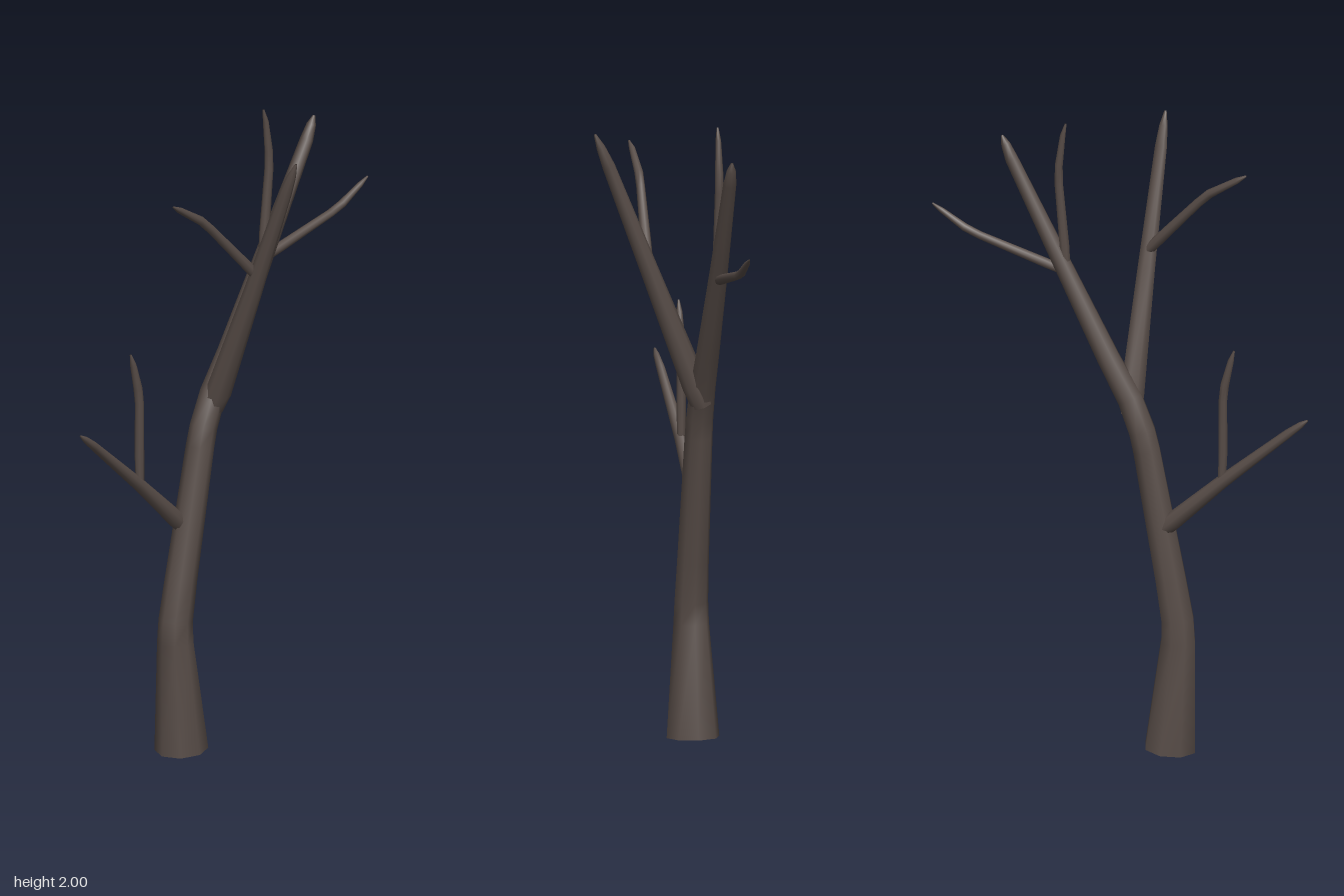
import * as THREE from 'three';

const SIDES = 8;

// Tapered limb: rings set square to a path of [x, y, z, radius] points
function limb(points) {
  const centres = points.map(p => new THREE.Vector3(p[0], p[1], p[2]));
  const pos = [], index = [];
  const last = points.length - 1;
  points.forEach((p, i) => {
    const before = centres[i].clone().sub(centres[Math.max(i - 1, 0)]).normalize();
    const after = centres[Math.min(i + 1, last)].clone().sub(centres[i]).normalize();
    const dir = before.add(after).normalize();
    const u = new THREE.Vector3().crossVectors(dir, new THREE.Vector3(0, 0, 1)).normalize();
    const v = new THREE.Vector3().crossVectors(u, dir);
    for (let j = 0; j < SIDES; j++) {
      const a = (j / SIDES) * Math.PI * 2;
      const q = centres[i].clone().addScaledVector(u, p[3] * Math.cos(a)).addScaledVector(v, p[3] * Math.sin(a));
      pos.push(q.x, q.y, q.z);
    }
  });
  for (let i = 0; i < last; i++) {
    for (let j = 0; j < SIDES; j++) {
      const a = i * SIDES + j, b = i * SIDES + (j + 1) % SIDES;
      index.push(a, a + SIDES, b, b, a + SIDES, b + SIDES);
    }
  }
  // close the tip
  const top = last * SIDES;
  for (let j = 1; j < SIDES - 1; j++) index.push(top, top + j + 1, top + j);
  const geo = new THREE.BufferGeometry();
  geo.setAttribute('position', new THREE.Float32BufferAttribute(pos, 3));
  geo.setIndex(index);
  geo.computeVertexNormals();
  return geo;
}

export function createModel() {
  const bark = new THREE.MeshStandardMaterial({ color: 0x574c47, side: THREE.DoubleSide });
  bark.name = 'bark';

  const limbs = {
    // trunk bends into the left main branch; its base is open
    trunk: [
      [-0.174, 0.006, -0.13, 0.083], [-0.2, 0.36, -0.13, 0.056], [-0.198, 0.43, -0.13, 0.053],
      [-0.175, 0.56, -0.13, 0.05], [-0.095, 0.97, -0.13, 0.044], [-0.08, 1.03, -0.13, 0.043],
      [-0.04, 1.13, -0.13, 0.041], [0.03, 1.25, -0.13, 0.037], [0.19, 1.55, -0.13, 0.029],
      [0.355, 1.86, -0.128, 0.021], [0.375, 1.905, -0.128, 0.015], [0.387, 1.932, -0.128, 0.004],
    ],
    frontBranch: [
      [-0.045, 1.08, -0.13, 0.034], [-0.038, 1.14, -0.107, 0.04], [-0.026, 1.5, 0.034, 0.029],
      [-0.018, 1.85, 0.17, 0.02], [-0.016, 1.91, 0.195, 0.014], [-0.015, 1.953, 0.214, 0.004],
    ],
    lowerBranch: [
      [-0.15, 0.72, -0.143, 0.026], [-0.19, 0.757, -0.142, 0.028], [-0.35, 0.905, -0.132, 0.021],
      [-0.56, 1.085, -0.114, 0.014], [-0.6, 1.117, -0.11, 0.01], [-0.622, 1.134, -0.109, 0.003],
    ],
    lowerTwig: [
      [-0.347, 0.9, -0.132, 0.013], [-0.35, 1.0, -0.132, 0.015], [-0.35, 1.17, -0.132, 0.014],
      [-0.356, 1.22, -0.132, 0.014], [-0.376, 1.3, -0.132, 0.01], [-0.387, 1.336, -0.132, 0.003],
    ],
    sideTwig: [
      [0.19, 1.522, -0.13, 0.015], [0.24, 1.536, -0.13, 0.016], [0.46, 1.596, -0.131, 0.013],
      [0.51, 1.615, -0.131, 0.013], [0.585, 1.659, -0.131, 0.009], [0.617, 1.678, -0.131, 0.003],
    ],
    topTwig: [
      [0.172, 1.53, -0.13, 0.014], [0.178, 1.6, -0.13, 0.016], [0.197, 1.8, -0.13, 0.014],
      [0.197, 1.86, -0.13, 0.013], [0.184, 1.96, -0.13, 0.009], [0.174, 2.0, -0.13, 0.003],
    ],
    frontTwig: [
      [-0.03, 1.558, 0.045, 0.016], [-0.06, 1.592, 0.043, 0.017], [-0.2, 1.74, 0.029, 0.014],
      [-0.24, 1.777, 0.026, 0.014], [-0.33, 1.832, 0.027, 0.01], [-0.36, 1.85, 0.03, 0.003],
    ],
  };

  const tree = new THREE.Group();
  tree.name = 'bareTree';
  for (const [name, points] of Object.entries(limbs)) {
    const mesh = new THREE.Mesh(limb(points), bark);
    mesh.name = name;
    tree.add(mesh);
  }
  return tree;
}
